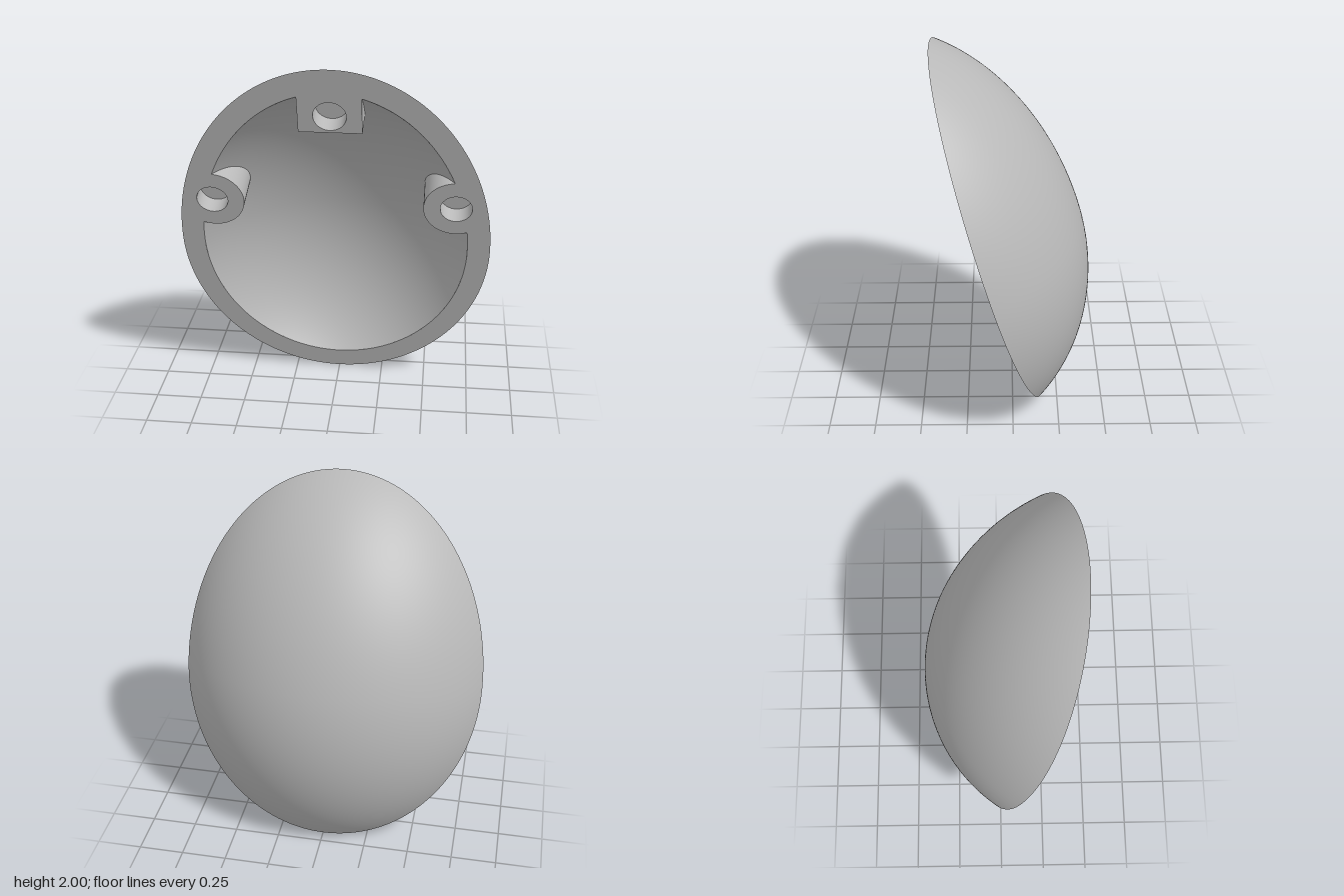
import * as THREE from 'three';

// Working frame: rim lies in the local XY plane (y runs up the rim), shell bulges to -z.
const K = Math.hypot(1, 0.3);            // rim length per unit of height
const MID = 0.92 * K;                    // height of the widest point
const AXIS = 0.468;                      // revolution axis, in front of the rim
const OUTER = { w: 0.83, lo: MID, hi: 1.08 * K };
const INNER = { w: 0.71, lo: 0.8 * K, hi: 0.95 * K };
const BOSS = { x: 0.64, y: 1.203 * K, r: 0.17 };
const BLOCK = { x: 0.16, y: 1.647 * K };
const HOLE_R = 0.083, HOLE_DEPTH = 0.1;
const HOLES = [[BOSS.x, BOSS.y], [-BOSS.x, BOSS.y], [0, 1.74 * K]];

const eggPoint = (e, t) => new THREE.Vector2(
  e.w * Math.cos(t), MID + (t < 0 ? e.lo : e.hi) * Math.sin(t));

// half width of an egg outline at height y
function halfWidth(e, y) {
  const s = (y - MID) / (y < MID ? e.lo : e.hi);
  return e.w * Math.sqrt(Math.max(0, 1 - s * s));
}

// depth of the outer skin behind the rim plane
function skinDepth(x, y) {
  const w = halfWidth(OUTER, y);
  return Math.sqrt(Math.max(AXIS * AXIS, w * w + AXIS * AXIS - x * x)) - AXIS;
}

function gridGeometry(rows, cols, point, flip, skip) {
  const pos = [], index = [];
  for (let i = 0; i <= rows; i++)
    for (let j = 0; j <= cols; j++) pos.push(...point(i / rows, j / cols));
  const tri = (a, b, c) => {
    const mean = k => (pos[a * 3 + k] + pos[b * 3 + k] + pos[c * 3 + k]) / 3;
    if (skip && skip(mean(0), mean(1))) return;
    index.push(...(flip ? [a, c, b] : [a, b, c]));
  };
  for (let i = 0; i < rows; i++)
    for (let j = 0; j < cols; j++) {
      const a = i * (cols + 1) + j, b = a + 1, c = a + cols + 1, d = c + 1;
      tri(a, c, b);
      tri(b, c, d);
    }
  const g = new THREE.BufferGeometry();
  g.setAttribute('position', new THREE.Float32BufferAttribute(pos, 3));
  g.setIndex(index);
  g.computeVertexNormals();
  return g;
}

// part of an egg of revolution lying behind the rim plane
function eggSkin(e, flip, skip) {
  return gridGeometry(96, 96, (v, s) => {
    const p = eggPoint(e, (v - 0.5) * Math.PI);
    const r = Math.hypot(p.x, AXIS);
    const a = (s * 2 - 1) * Math.atan2(p.x, AXIS);
    return [r * Math.sin(a), p.y, AXIS - r * Math.cos(a)];
  }, flip, skip);
}

// wall running from the rim plane back into the shell along a path
function wall(path) {
  return gridGeometry(path.length - 1, 1, (v, s) => {
    const p = path[Math.round(v * (path.length - 1))];
    return [p.x, p.y, -s * Math.max(0, skinDepth(p.x, p.y) - 0.03)];
  });
}

const mirrored = pts => pts.map(p => new THREE.Vector2(-p.x, p.y)).reverse();

export function createModel() {
  const grey = new THREE.MeshStandardMaterial({ color: 0xb8b8b8, side: THREE.DoubleSide });
  grey.name = 'grey plastic';
  const model = new THREE.Group();
  model.name = 'eggShellCover';
  const add = (name, geometry) => {
    const m = new THREE.Mesh(geometry, grey);
    m.name = name;
    model.add(m);
    return m;
  };

  // outer and inner skins; the inner one is left open around the screw holes
  add('outerShell', eggSkin(OUTER, true));
  add('innerShell', eggSkin(INNER, false, (x, y) =>
    HOLES.some(h => Math.hypot(x - h[0], y - h[1]) < HOLE_R + 0.035)));

  // boss outline inside the cavity, from its lower to its upper end
  const bossArc = [];
  for (let i = 0; i <= 160; i++) {
    const a = -Math.PI / 3 - (i / 160) * Math.PI * 4 / 3;
    const p = new THREE.Vector2(BOSS.x + BOSS.r * Math.cos(a), BOSS.y + BOSS.r * Math.sin(a));
    if (p.x < halfWidth(INNER, p.y) + 0.002) bossArc.push(p);
  }

  // right half of the opening: egg edge, boss, egg edge, block
  const lower = [], upper = [];
  for (let i = 0; i <= 192; i++) {
    const p = eggPoint(INNER, (i / 192 - 0.5) * Math.PI);
    if (Math.hypot(p.x - BOSS.x, p.y - BOSS.y) < BOSS.r + 0.003) continue;
    if (p.y < BOSS.y) lower.push(p);
    else if (p.x > BLOCK.x + 0.003) upper.push(p);
  }
  const blockTop = MID + INNER.hi * Math.sqrt(1 - (BLOCK.x / INNER.w) ** 2);
  const blockSide = [new THREE.Vector2(BLOCK.x, blockTop), new THREE.Vector2(BLOCK.x, BLOCK.y)];
  const half = [...lower, ...bossArc, ...upper, ...blockSide];

  // flat rim with the opening and the screw holes cut out
  const outline = [];
  for (let i = 0; i <= 96; i++) outline.push(eggPoint(OUTER, (i / 96 - 0.5) * Math.PI));
  const rim = new THREE.Shape([...outline, ...mirrored(outline).slice(1, -1)]);
  rim.holes.push(new THREE.Path([...half, ...mirrored(half).slice(0, -1)]));
  for (const [x, y] of HOLES) {
    const ring = [];
    for (let i = 0; i < 40; i++) {
      const a = i / 40 * Math.PI * 2;
      ring.push(new THREE.Vector2(x + HOLE_R * Math.cos(a), y + HOLE_R * Math.sin(a)));
    }
    rim.holes.push(new THREE.Path(ring));
  }
  add('rim', new THREE.ShapeGeometry(rim));

  // walls of the two round bosses and the top block
  add('leftBoss', wall(bossArc));
  add('rightBoss', wall(mirrored(bossArc)));
  const blockLeft = blockSide, blockRight = mirrored(blockSide);
  add('blockLeftSide', wall(blockLeft));
  add('blockRightSide', wall(blockRight));
  add('blockUnderside', wall([blockLeft[1], new THREE.Vector2(0, BLOCK.y), blockRight[0]]));

  // blind screw holes
  for (const [x, y] of HOLES) {
    const tube = new THREE.CylinderGeometry(HOLE_R, HOLE_R, HOLE_DEPTH, 40, 1, true);
    tube.rotateX(Math.PI / 2);
    add('screwHoleWall', tube).position.set(x, y, -HOLE_DEPTH / 2);
    add('screwHoleFloor', new THREE.CircleGeometry(HOLE_R, 40)).position.set(x, y, -HOLE_DEPTH);
  }

  // lean the cover forward
  model.rotation.x = Math.atan(0.3);
  model.position.z = -0.18;
  const root = new THREE.Group();
  root.name = 'leaningCover';
  root.add(model);
  return root;
}
